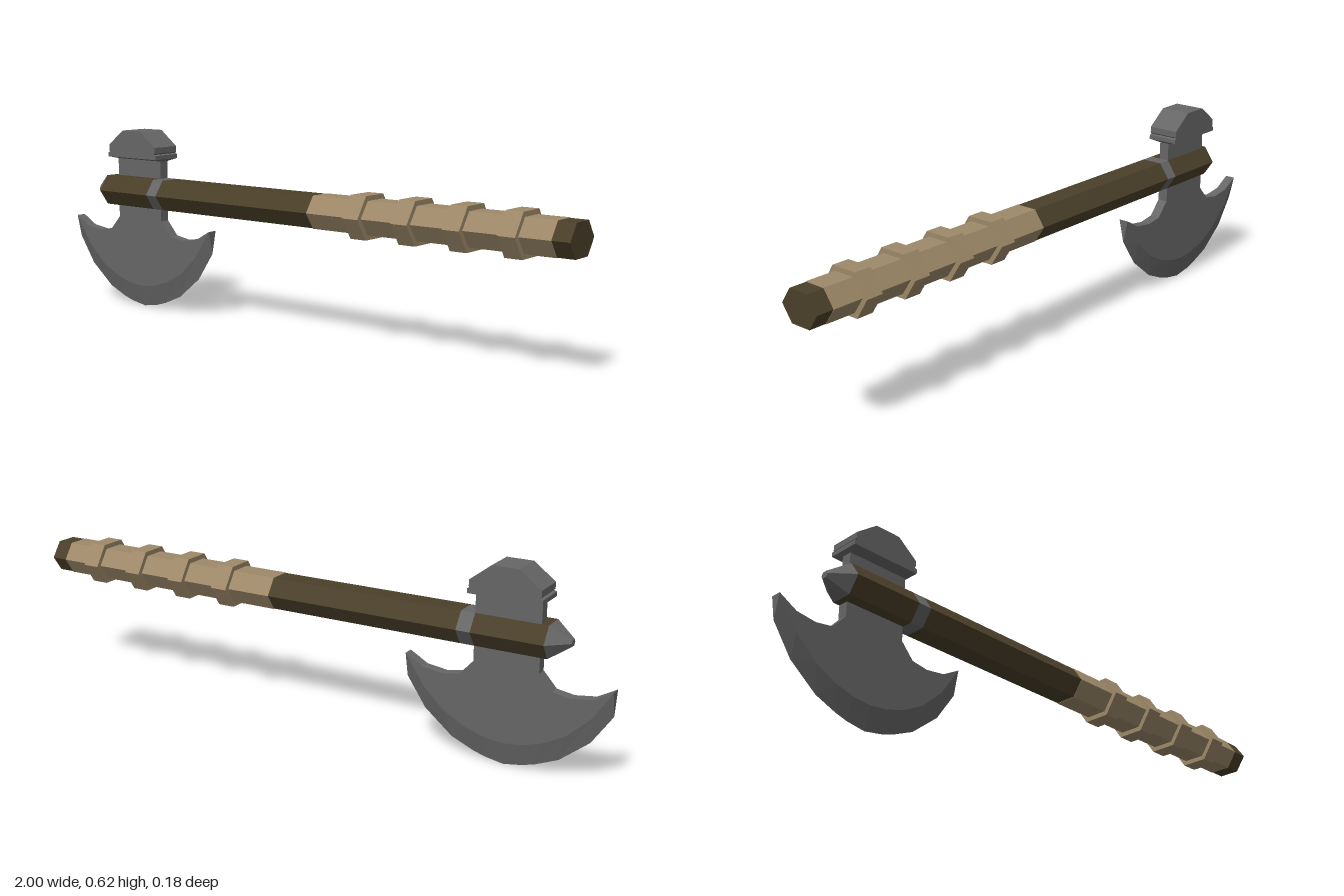
import * as THREE from 'three';

const mat = (name, color) => {
  const m = new THREE.MeshStandardMaterial({ color, flatShading: true });
  m.name = name;
  return m;
};

export function createModel() {
  const steel = mat('steel', 0x666666);
  const wood = mat('dark wood', 0x4a3f29);
  const leather = mat('tan wrap', 0x9e8969);
  const group = new THREE.Group();
  const CX = -0.677, CY = 0.407, CZ = -0.017, T = 0.017;

  const add = (name, geo, material) => {
    const mesh = new THREE.Mesh(geo, material);
    mesh.name = name;
    group.add(mesh);
    return mesh;
  };

  // Flattened hexagonal prism along x; r is the half depth, h the half height
  const hex = (name, x0, x1, r, h, material, r0 = r) => {
    const geo = new THREE.CylinderGeometry(r, r0, x1 - x0, 6);
    geo.rotateZ(-Math.PI / 2);
    geo.scale(1, h / (r * Math.sin(Math.PI / 3)), 1);
    geo.translate((x0 + x1) / 2, CY, 0.001);
    return add(name, geo, material);
  };

  // Shaft, from pointed cap to butt
  hex('endCap', -0.862, -0.8, 0.07, 0.05, steel, 0.014);
  hex('shaftHead', -0.8, -0.575, 0.07, 0.05, wood);
  hex('collar', -0.575, -0.53, 0.07, 0.05, steel);
  hex('shaft', -0.53, 0.115, 0.07, 0.05, wood);
  hex('grip', 0.115, 0.945, 0.071, 0.0515, leather);
  hex('butt', 0.945, 1, 0.07, 0.05, wood);
  for (const x of [0.293, 0.467, 0.642, 0.818])
    hex('gripRing', x - 0.028, x + 0.028, 0.088, 0.0665, leather);

  // Neck passing through the shaft
  const neck = new THREE.BoxGeometry(0.204, 0.212, 2 * T);
  neck.translate(CX, 0.414, CZ);
  add('neck', neck, steel);

  // Hammer poll: stepped profile with a sloped crown
  const half = [[0.115, 0.524], [0.115, 0.538], [0.106, 0.541], [0.11, 0.545], [0.11, 0.565], [0.042, 0.617]];
  const outline = [...half, ...half.map(([x, y]) => [-x, y]).reverse()];
  const poll = new THREE.ExtrudeGeometry(
    new THREE.Shape(outline.map(([x, y]) => new THREE.Vector2(x, y))),
    { depth: 0.105, bevelEnabled: false });
  poll.translate(CX, 0, CZ - 0.0525);
  add('poll', poll, steel);

  // Tapered underside of the poll
  const under = new THREE.BoxGeometry(0.23, 0.008, 0.105);
  const up = under.attributes.position;
  for (let i = 0; i < up.count; i++)
    if (up.getY(i) < 0) up.setXYZ(i, up.getX(i) * 0.9, up.getY(i), Math.sign(up.getZ(i)) * T);
  under.translate(CX, 0.52, CZ);
  under.computeVertexNormals();
  add('pollUnderside', under, steel);

  // Blade: upper outline, bevel line and cutting edge, from horn to centre
  const mirror = pts => [
    ...pts.map(([x, y]) => [-x, y]),
    ...pts.slice(0, -1).reverse()];
  const top = mirror([[0.323, 0.295], [0.265, 0.262], [0.2, 0.253], [0.145, 0.262], [0.102, 0.31], [0, 0.31]]);
  const bevel = mirror([[0.323, 0.295], [0.26, 0.2], [0.19, 0.135], [0.12, 0.098], [0.06, 0.08], [0, 0.073]]);
  const edge = mirror([[0.323, 0.218], [0.26, 0.125], [0.17, 0.052], [0.1, 0.022], [0.06, 0.01], [0, 0]]);
  const pos = [];
  const at = ([x, y], z) => [CX + x, y, CZ + z];
  const tri = (a, b, c) => pos.push(...a, ...b, ...c);
  const quad = (a, b, c, d) => { tri(a, b, c); tri(a, c, d); };
  for (let i = 0; i < top.length - 1; i++) {
    const j = i + 1;
    // flat cheeks
    quad(at(bevel[i], T), at(bevel[j], T), at(top[j], T), at(top[i], T));
    quad(at(bevel[j], -T), at(bevel[i], -T), at(top[i], -T), at(top[j], -T));
    // ground bevels
    quad(at(edge[i], 0), at(edge[j], 0), at(bevel[j], T), at(bevel[i], T));
    quad(at(edge[j], 0), at(edge[i], 0), at(bevel[i], -T), at(bevel[j], -T));
    // upper rim
    quad(at(top[i], T), at(top[j], T), at(top[j], -T), at(top[i], -T));
  }
  // horn ends
  const n = top.length - 1;
  tri(at(top[0], -T), at(edge[0], 0), at(top[0], T));
  tri(at(top[n], T), at(edge[n], 0), at(top[n], -T));
  const blade = new THREE.BufferGeometry();
  blade.setAttribute('position', new THREE.Float32BufferAttribute(pos, 3));
  blade.computeVertexNormals();
  add('blade', blade, steel);

  return group;
}
